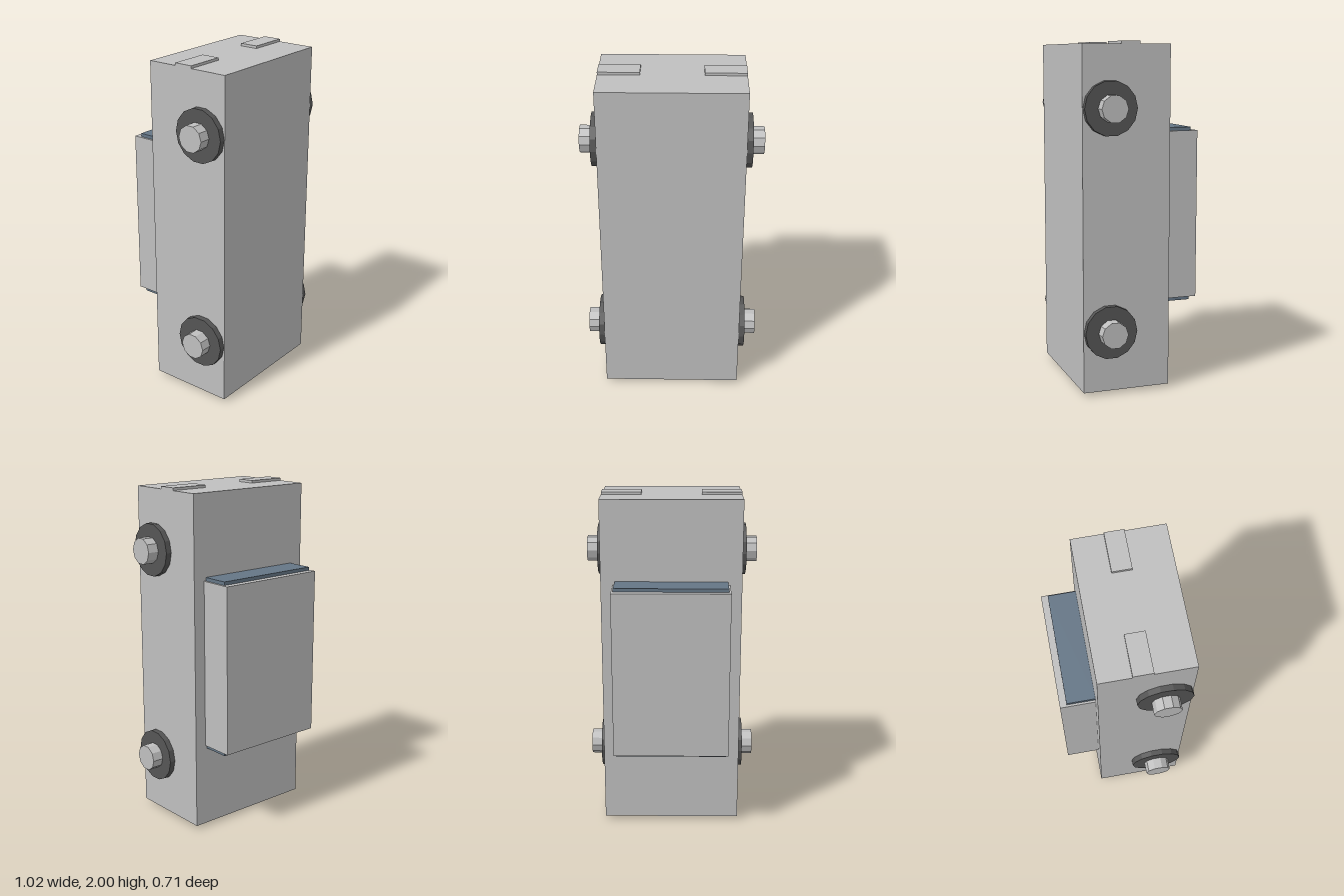
import * as THREE from 'three';

const material = (name, color, flatShading = false) => {
  const m = new THREE.MeshStandardMaterial({ color, flatShading });
  m.name = name;
  return m;
};

export function createModel() {
  const model = new THREE.Group();
  model.name = 'toyCar';

  const paint = material('greyPaint', 0xbfbfbf, true);
  const rubber = material('darkRubber', 0x555555, true);
  const glass = material('blueGlass', 0x657686, true);
  const red = material('redLight', 0xc85a4c, true);

  // Box given by its limits on each axis
  const box = (name, mat, [x0, x1], [y0, y1], [z0, z1]) => {
    const mesh = new THREE.Mesh(new THREE.BoxGeometry(x1 - x0, y1 - y0, z1 - z0), mat);
    mesh.position.set((x0 + x1) / 2, (y0 + y1) / 2, (z0 + z1) / 2);
    mesh.name = name;
    model.add(mesh);
  };

  // Cylinder lying along x, from x0 to x1
  const disc = (name, mat, radius, sides, x0, x1) => {
    const geometry = new THREE.CylinderGeometry(radius, radius, Math.abs(x1 - x0), sides);
    geometry.rotateZ(Math.PI / 2);
    const mesh = new THREE.Mesh(geometry, mat);
    mesh.position.x = (x0 + x1) / 2;
    mesh.name = name;
    return mesh;
  };

  // The car stands on its tail: nose up, roof towards the back
  box('body', paint, [-0.407, 0.407], [0.02, 1.985], [-0.16, 0.356]);
  box('cabin', paint, [-0.337, 0.337], [0.515, 1.495], [-0.358, -0.16]);
  box('windshield', glass, [-0.325, 0.325], [1.495, 1.515], [-0.32, -0.16]);
  box('rearWindow', glass, [-0.325, 0.325], [0.495, 0.515], [-0.32, -0.16]);
  box('tailLight', red, [-0.315, 0.315], [0, 0.02], [0.02, 0.13]);

  for (const side of [-1, 1]) {
    const edges = [side * 0.175, side * 0.407].sort((a, b) => a - b);
    box('headlight', paint, edges, [1.985, 2], [0.02, 0.13]);

    // Wheels: tyre with a protruding hub
    for (const y of [0.371, 1.634]) {
      const wheel = new THREE.Group();
      wheel.name = 'wheel';
      wheel.position.set(0, y, 0.2);
      wheel.add(
        disc('tyre', rubber, 0.154, 14, side * 0.38, side * 0.441),
        disc('hub', paint, 0.077, 10, side * 0.38, side * 0.508),
      );
      model.add(wheel);
    }
  }

  return model;
}
